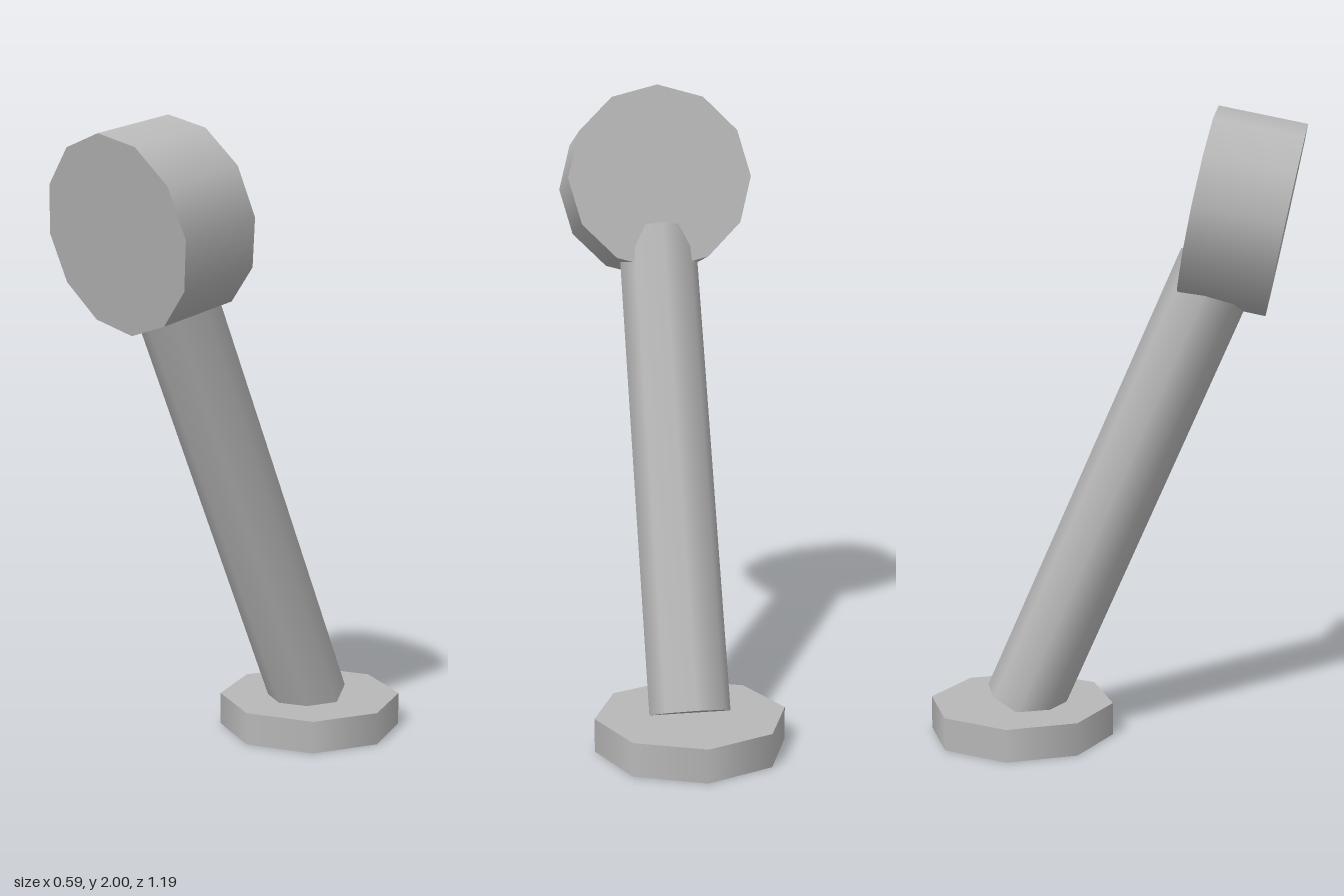
import * as THREE from 'three';

const grey = new THREE.MeshStandardMaterial({ color: 0xb8b8b8 });
grey.name = 'grey';

// Cylinder centred at (0, y, z) and tilted about x
function addCylinder(group, name, radius, length, sides, y, z, tilt) {
  const mesh = new THREE.Mesh(new THREE.CylinderGeometry(radius, radius, length, sides), grey);
  mesh.name = name;
  mesh.position.set(0, y, z);
  mesh.rotation.x = tilt;
  group.add(mesh);
}

export function createModel() {
  const group = new THREE.Group();
  group.name = 'leaningPost';

  // Octagonal foot at the back
  addCylinder(group, 'base', 0.297, 0.105, 8, 0.0525, -0.297, 0);
  // Post leaning forward from the centre of the foot
  addCylinder(group, 'post', 0.127, 1.543, 8, 0.809, 0.019, 0.412);
  // Twelve-sided head facing forward and slightly down
  addCylinder(group, 'head', 0.297, 0.275, 12, 1.678, 0.397, Math.PI / 2 + 0.203);

  return group;
}
